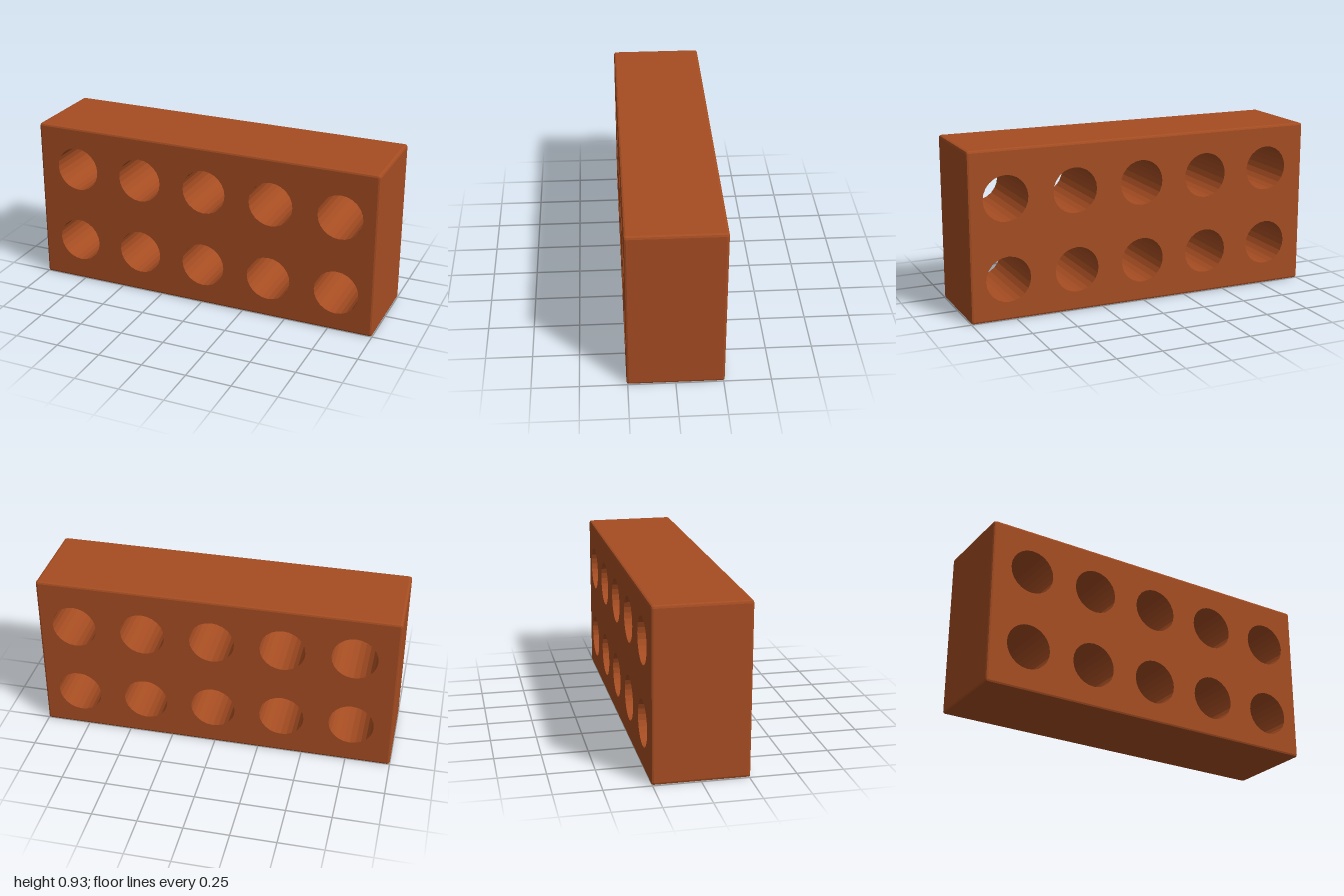
import * as THREE from 'three';

const W = 2, H = 0.93, D = 0.512; // brick size
const BEVEL = 0.012, HOLE_R = 0.125, SIDES = 24;

// Slightly tilted 5 x 2 grid of hole centres
function holeCentres() {
  const list = [];
  for (let row = 0; row < 2; row++)
    for (let col = 0; col < 5; col++)
      list.push([-0.77 + 0.39 * col + 0.006 * row, 0.246 - 0.005 * col + 0.44 * row]);
  return list;
}

// Face outline inside the bevel, with tiny rounded corners
function faceShape() {
  const x = W / 2 - BEVEL, y0 = BEVEL, y1 = H - BEVEL, r = 0.004;
  const s = new THREE.Shape();
  s.moveTo(-x + r, y0);
  s.lineTo(x - r, y0);
  s.quadraticCurveTo(x, y0, x, y0 + r);
  s.lineTo(x, y1 - r);
  s.quadraticCurveTo(x, y1, x - r, y1);
  s.lineTo(-x + r, y1);
  s.quadraticCurveTo(-x, y1, -x, y1 - r);
  s.lineTo(-x, y0 + r);
  s.quadraticCurveTo(-x, y0, -x + r, y0);
  return s;
}

// Bevelled outer band: the side walls of an extrusion, without its caps
function bandGeometry() {
  const full = new THREE.ExtrudeGeometry(faceShape(), {
    depth: D - 2 * BEVEL, curveSegments: 2,
    bevelEnabled: true, bevelSize: BEVEL, bevelThickness: BEVEL, bevelSegments: 2,
  });
  const { start, count } = full.groups[1];
  const band = new THREE.BufferGeometry();
  for (const name of ['position', 'normal']) {
    const part = full.attributes[name].array.slice(start * 3, (start + count) * 3);
    band.setAttribute(name, new THREE.BufferAttribute(part, 3));
  }
  return band.translate(0, 0, BEVEL - D / 2);
}

export function createModel() {
  const group = new THREE.Group();
  group.name = 'brick';
  const clay = new THREE.MeshStandardMaterial({ color: 0xa64d22 });
  const lining = new THREE.MeshStandardMaterial({ color: 0xa64d22, side: THREE.BackSide, flatShading: true });

  const add = (name, geometry, material = clay) => {
    const mesh = new THREE.Mesh(geometry, material);
    mesh.name = name;
    group.add(mesh);
    return mesh;
  };

  add('outerWalls', bandGeometry());

  // Perforated front and back faces
  const shape = faceShape();
  const centres = holeCentres();
  for (const [x, y] of centres) {
    const points = [];
    for (let i = 0; i < SIDES; i++) {
      const a = -i / SIDES * Math.PI * 2;
      points.push(new THREE.Vector2(x + HOLE_R * Math.cos(a), y + HOLE_R * Math.sin(a)));
    }
    shape.holes.push(new THREE.Path(points));
  }
  const front = new THREE.ShapeGeometry(shape, 2);
  add('frontFace', front.clone().translate(0, 0, D / 2));

  // The back reuses the front with its winding reversed
  const back = front.clone().translate(0, 0, -D / 2);
  back.index.array.reverse();
  back.computeVertexNormals();
  add('backFace', back);

  // Walls of the through holes
  const tube = new THREE.CylinderGeometry(HOLE_R, HOLE_R, D, SIDES, 1, true).rotateX(Math.PI / 2);
  for (const [x, y] of centres) add('holeWall', tube, lining).position.set(x, y, 0);

  return group;
}
